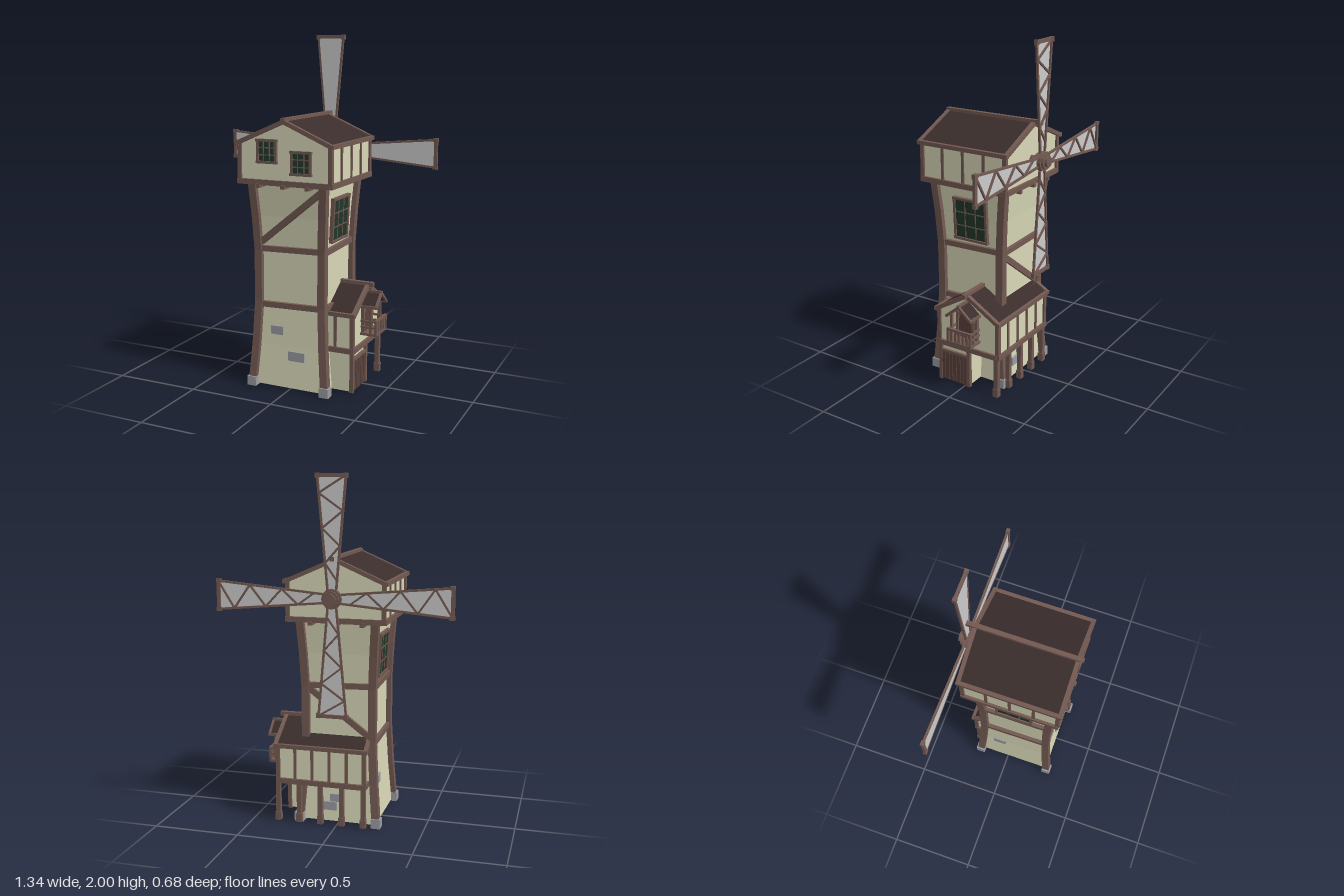
import * as THREE from 'three';

const mat = (color, side = THREE.FrontSide) =>
  new THREE.MeshStandardMaterial({ color, side, flatShading: true });
const WOOD = mat(0x735a52), PLASTER = mat(0xd9d8b8, THREE.DoubleSide), ROOF = mat(0x3a2d2c),
  GLASS = mat(0x22382a), STONE = mat(0x9a9ca2), SAIL = mat(0xcccccc, THREE.DoubleSide),
  DOOR = mat(0x5a423c);
const V = (x, y, z) => new THREE.Vector3(x, y, z);

function add(parent, name, geo, material, x = 0, y = 0, z = 0) {
  const m = new THREE.Mesh(geo, material);
  m.name = name;
  m.position.set(x, y, z);
  parent.add(m);
  return m;
}
const box = (p, name, m, w, h, d, x, y, z) => add(p, name, new THREE.BoxGeometry(w, h, d), m, x, y, z);

// Timber running from a to b
function beam(parent, name, a, b, w = 0.03, h = w, material = WOOD) {
  const m = new THREE.Mesh(new THREE.BoxGeometry(w, h, a.distanceTo(b)), material);
  m.name = name;
  m.position.copy(a).lerp(b, 0.5);
  if (Math.abs(b.y - a.y) > 0.9 * a.distanceTo(b)) m.up.set(0, 0, 1);
  m.lookAt(b);
  parent.add(m);
}

function extrude(points, z0, z1) {
  const shape = new THREE.Shape(points.map(([x, y]) => new THREE.Vector2(x, y)));
  return new THREE.ExtrudeGeometry(shape, { depth: z1 - z0, bevelEnabled: false }).translate(0, 0, z0);
}

// Gabled roof with its ridge along z and timber trim
function gableRoof(g, { hw, eave, apex, z0, z1, o, t, ridge = 0 }) {
  const w = hw + o, e = eave - (apex - eave) * o / hw, za = z0 - o, zb = z1 + o;
  add(g, 'roof', extrude([[-w, e], [w, e], [w, e + t * 0.6], [0, apex + t * 0.6], [-w, e + t * 0.6]]
    .toSpliced(1, 0, [0, apex]), za, zb), ROOF);
  for (const s of [-1, 1]) {
    for (const z of [za, zb]) beam(g, 'rafter', V(s * w, e + t * 0.3, z), V(0, apex + t * 0.3, z), t, t);
    beam(g, 'eaveBeam', V(s * w, e + t * 0.3, za - t / 2), V(s * w, e + t * 0.3, zb + t / 2), t, t);
  }
  beam(g, 'ridgeBeam', V(0, apex + t * 0.6, za - t / 2), V(0, apex + t * 0.6, zb + t / 2 + ridge), t * 1.1, t * 1.1);
}

// Timber framed gabled house
function house(g, c) {
  const { hw, y0, eave, apex, z0, z1, t, studs } = c;
  add(g, 'houseWalls', extrude([[-hw, y0], [hw, y0], [hw, eave], [0, apex], [-hw, eave]], z0, z1), PLASTER);
  gableRoof(g, c);
  for (const s of [-1, 1]) {
    beam(g, 'sideSill', V(s * hw, y0, z0 - t / 2), V(s * hw, y0, z1 + t / 2), t * 1.3, t * 1.3);
    for (let i = 0; i <= studs; i++) {
      const z = z0 + (z1 - z0) * i / studs, k = i % studs ? 0.7 : 1;
      box(g, 'stud', WOOD, t * k, eave - y0, t * k, s * hw, (y0 + eave) / 2, z);
    }
  }
  for (const z of [z0, z1]) beam(g, 'endSill', V(-hw, y0, z), V(hw, y0, z), t * 1.3, t * 1.3);
}

// Framed window facing +z with glazing bars
function paneWindow(parent, w, h, cols, rows, x, y, z, ry = 0, tilt = 0) {
  const g = new THREE.Group();
  g.name = 'window';
  box(g, 'glass', GLASS, w, h, 0.012, 0, 0, 0);
  for (const s of [-1, 1]) {
    box(g, 'windowJamb', WOOD, 0.014, h + 0.014, 0.026, s * w / 2, 0, 0);
    box(g, 'windowRail', WOOD, w + 0.02, 0.014, 0.03, 0, s * h / 2, 0);
  }
  for (let i = 1; i < cols; i++) box(g, 'glazingBar', WOOD, 0.006, h, 0.018, w * (i / cols - 0.5), 0, 0);
  for (let i = 1; i < rows; i++) box(g, 'glazingBar', WOOD, w, 0.006, 0.018, 0, h * (i / rows - 0.5), 0);
  g.position.set(x, y, z);
  g.rotation.set(tilt, ry, 0, 'YXZ');
  parent.add(g);
}

// Waisted tower: height, half width, half depth
const LEVELS = [[0.01, 0.228, 0.23], [0.25, 0.209, 0.213], [0.5, 0.196, 0.2], [0.8, 0.196, 0.2],
  [1.0, 0.205, 0.212], [1.2, 0.218, 0.232]];
const CZ = 0.045;
function half(y) {
  let i = 0;
  while (i < LEVELS.length - 2 && y > LEVELS[i + 1][0]) i++;
  const [a, b] = [LEVELS[i], LEVELS[i + 1]], t = (y - a[0]) / (b[0] - a[0]);
  return [a[1] + (b[1] - a[1]) * t, a[2] + (b[2] - a[2]) * t];
}
const corner = (sx, sz, y) => V(sx * half(y)[0], y, CZ + sz * half(y)[1]);

function tower(g) {
  const ring = [[-1, 1], [1, 1], [1, -1], [-1, -1]];
  const pos = [], idx = [];
  LEVELS.forEach(([y, hx, hz], l) => ring.forEach(([sx, sz], k) => {
    pos.push(sx * (hx - 0.006), y, CZ + sz * (hz - 0.006));
    const a = l * 4 + k, b = l * 4 + (k + 1) % 4;
    if (l < LEVELS.length - 1) idx.push(a, b, b + 4, a, b + 4, a + 4);
  }));
  const geo = new THREE.BufferGeometry();
  geo.setAttribute('position', new THREE.Float32BufferAttribute(pos, 3));
  geo.setIndex(idx);
  geo.computeVertexNormals();
  add(g, 'towerWalls', geo, PLASTER);

  ring.forEach(([sx, sz], k) => {
    for (let i = 0; i < LEVELS.length - 1; i++)
      beam(g, 'cornerPost', corner(sx, sz, LEVELS[i][0]), corner(sx, sz, LEVELS[i + 1][0] + 0.004), 0.044);
    const [nx, nz] = ring[(k + 1) % 4];
    for (const y of [0.49, 0.815]) beam(g, 'ringBeam', corner(sx, sz, y - 0.004), corner(nx, nz, y + 0.006), 0.03, 0.032);
    box(g, 'footStone', STONE, 0.055, 0.055, 0.055, sx * 0.228, 0.0275, CZ + sz * 0.23);
  });
  // Diagonal braces
  beam(g, 'frontBrace', corner(-0.9, 1, 0.85), corner(0.95, 1, 1.16), 0.025, 0.035);
  beam(g, 'backBrace', corner(0.95, -1, 0.8), corner(-0.95, -1, 0.52), 0.025, 0.035);
  // Tall side windows
  for (const s of [-1, 1]) paneWindow(g, 0.21, 0.24, 3, 3, s * 0.207, 0.98, 0.04, s * Math.PI / 2, 0.05);
  // Exposed bricks
  box(g, 'brick', STONE, 0.075, 0.05, 0.02, -0.083, 0.34, CZ + half(0.34)[1] - 0.006);
  box(g, 'brick', STONE, 0.1, 0.055, 0.02, 0.042, 0.2, CZ + half(0.2)[1] - 0.006);
  box(g, 'brick', STONE, 0.02, 0.055, 0.08, -half(0.25)[0] + 0.006, 0.25, -0.06);
  box(g, 'brick', STONE, 0.1, 0.05, 0.02, 0.06, 0.1, CZ - half(0.1)[1] + 0.006);
  box(g, 'brick', STONE, 0.06, 0.045, 0.02, 0.02, 0.15, CZ - half(0.15)[1] + 0.006);
}

function annex(g) {
  // Local x runs towards -z of the model, local z towards +x
  house(g, { hw: 0.2, y0: 0.25, eave: 0.46, apex: 0.58, z0: -0.165, z1: 0.345, o: 0.012, t: 0.023, studs: 5, ridge: 0.025 });
  // Ground floor room, door and open porch posts
  box(g, 'groundRoom', PLASTER, 0.2, 0.24, 0.2, -0.1, 0.13, 0.238);
  for (const x of [-0.195, 0]) box(g, 'doorPost', WOOD, 0.022, 0.24, 0.022, x, 0.125, 0.343);
  for (let i = 0; i < 7; i++) box(g, 'doorPlank', DOOR, 0.022, 0.18, 0.014, -0.176 + i * 0.026, 0.1, 0.343);
  box(g, 'doorLintel', WOOD, 0.19, 0.016, 0.022, -0.1, 0.196, 0.343);
  for (let i = 0; i < 5; i++) {
    const z = -0.16 + i * 0.127;
    box(g, 'porchPost', WOOD, 0.026, 0.24, 0.026, 0.193, 0.125, z);
    box(g, 'porchPostFoot', WOOD, 0.033, 0.05, 0.033, 0.193, 0.03, z);
  }
  // Arched balcony door
  const arch = new THREE.Shape().moveTo(-0.055, 0.32).lineTo(0.055, 0.32).lineTo(0.055, 0.44);
  arch.absarc(0, 0.44, 0.055, 0, Math.PI).closePath();
  add(g, 'balconyDoor', new THREE.ExtrudeGeometry(arch, { depth: 0.02, bevelEnabled: false, curveSegments: 8 }), DOOR, 0, 0, 0.34);
  const rim = new THREE.TorusGeometry(0.058, 0.008, 4, 10, Math.PI);
  add(g, 'archRim', rim, WOOD, 0, 0.44, 0.36);
  // Balcony with canopy
  gableRoof(g, { hw: 0.07, eave: 0.485, apex: 0.545, z0: 0.31, z1: 0.43, o: 0.01, t: 0.014 });
  box(g, 'balconyFloor', WOOD, 0.165, 0.014, 0.1, 0, 0.319, 0.395);
  for (const s of [-1, 1]) {
    box(g, 'canopyPost', WOOD, 0.014, 0.18, 0.014, s * 0.073, 0.4, 0.405);
    box(g, 'balconyPost', WOOD, 0.014, 0.09, 0.014, s * 0.075, 0.36, 0.438);
    box(g, 'doorJamb', WOOD, 0.014, 0.17, 0.018, s * 0.066, 0.4, 0.355);
    for (const y of [0.36, 0.395]) box(g, 'sideRail', WOOD, 0.01, 0.012, 0.1, s * 0.075, y, 0.395);
  }
  box(g, 'frontRail', WOOD, 0.165, 0.014, 0.014, 0, 0.398, 0.438);
  for (let i = -2; i <= 2; i++) box(g, 'baluster', WOOD, 0.014, 0.07, 0.008, i * 0.026, 0.36, 0.438);
  g.rotation.y = Math.PI / 2;
  g.position.z = -0.03;
}

// One sail along +y from the hub
function sail() {
  const g = new THREE.Group(), hw = r => 0.02 + 0.09 * r, r0 = 0.05, r1 = 0.658;
  g.name = 'sail';
  const s = new THREE.Shape([V(-hw(r0), r0), V(hw(r0), r0), V(hw(r1), r1), V(-hw(r1), r1)]
    .map(p => new THREE.Vector2(p.x, p.y)));
  add(g, 'sailCloth', new THREE.ShapeGeometry(s), SAIL, 0, 0, 0.004);
  for (const k of [-1, 1]) {
    beam(g, 'sailEdge', V(k * hw(r0), r0, 0), V(k * hw(r1), r1, 0), 0.012, 0.012);
    box(g, 'tipJoint', WOOD, 0.022, 0.028, 0.02, k * hw(r1), r1 - 0.002, 0);
  }
  beam(g, 'tipBar', V(-0.085, r1, 0), V(0.085, r1, 0), 0.016, 0.02);
  const n = 6;
  for (let i = 0; i < n; i++) {
    const a = 0.1 + (r1 - 0.1) * i / n, b = 0.1 + (r1 - 0.1) * (i + 1) / n, k = i % 2 ? 1 : -1;
    beam(g, 'lattice', V(k * hw(a), a, -0.003), V(-k * hw(b), b, -0.003), 0.01, 0.01);
  }
  return g;
}

export function createModel() {
  const model = new THREE.Group();
  model.name = 'windmill';
  const part = (name, build) => {
    const g = new THREE.Group();
    g.name = name;
    build(g);
    model.add(g);
  };
  part('tower', tower);
  part('annex', annex);
  part('millHouse', g => {
    house(g, { hw: 0.275, y0: 1.2, eave: 1.41, apex: 1.53, z0: -0.23, z1: 0.315, o: 0.012, t: 0.023, studs: 4 });
    box(g, 'ridgeTail', WOOD, 0.025, 0.025, 0.05, 0, 1.545, -0.27);
    paneWindow(g, 0.11, 0.12, 3, 3, -0.105, 1.372, 0.318);
    paneWindow(g, 0.11, 0.12, 3, 3, 0.102, 1.315, 0.318);
    for (const x of [-0.155, -0.005, 0.142]) for (const s of [-1, 1])
      box(g, 'joistEnd', WOOD, 0.024, 0.024, 0.1, x, 1.182, 0.043 + s * 0.245);
  });
  part('sails', g => {
    for (let i = 0; i < 4; i++) {
      const s = sail();
      s.rotation.z = i * Math.PI / 2;
      g.add(s);
    }
    // Stepped hub and axle: radius, length, z
    for (const [r, l, z] of [[0.025, 0.12, 0.05], [0.042, 0.02, 0.022], [0.056, 0.03, -0.003], [0.045, 0.014, -0.024], [0.03, 0.016, -0.038]])
      add(g, 'hub', new THREE.CylinderGeometry(r, r, l, 12).rotateX(Math.PI / 2), WOOD, 0, 0, z);
    g.position.set(0, 1.33, -0.297);
  });
  return model;
}
